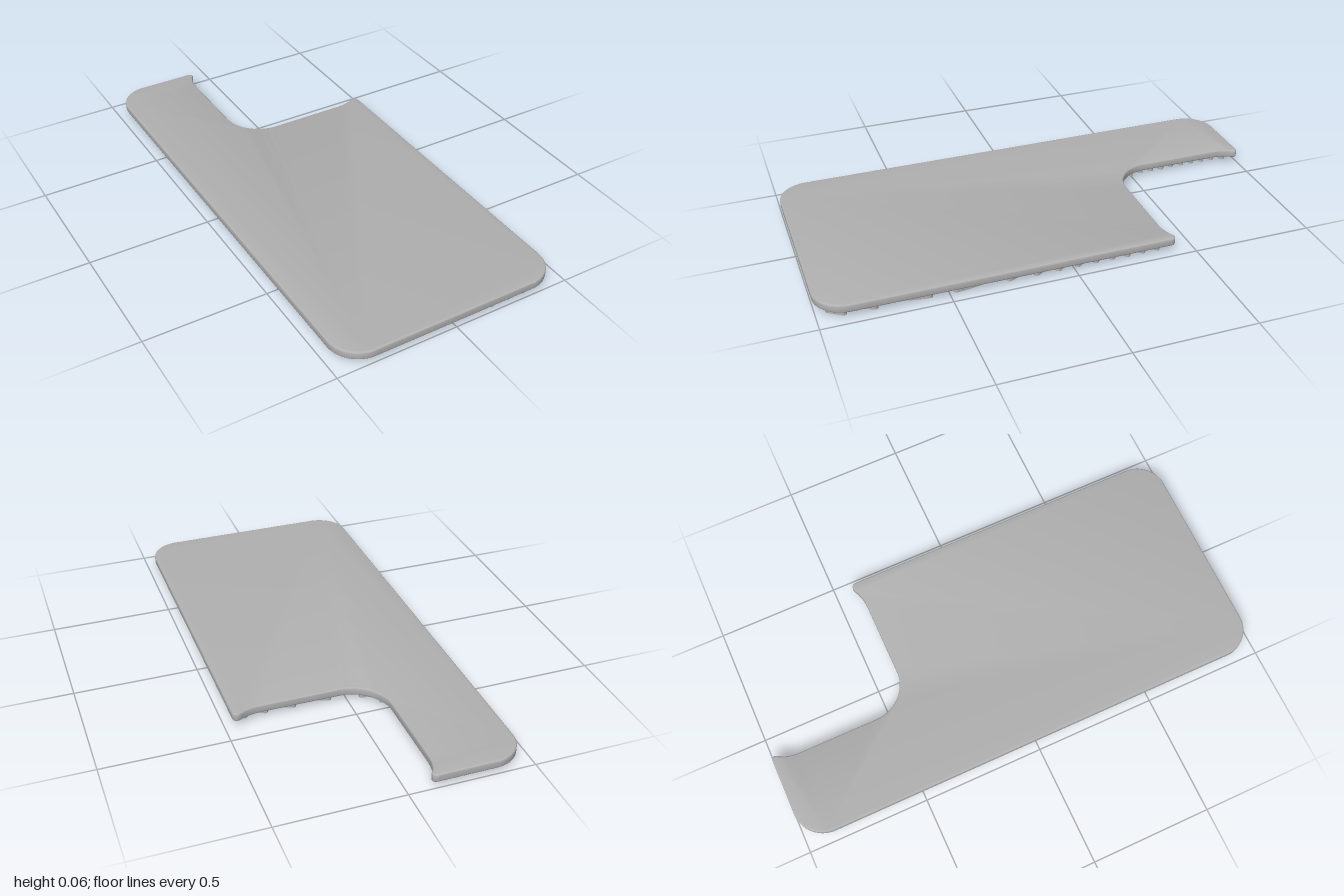
import * as THREE from 'three';
import { toCreasedNormals } from 'three/addons/utils/BufferGeometryUtils.js';

const PLATE_BOTTOM = 0.025, PLATE_TOP = 0.059;
const CENTRE = new THREE.Vector2(-0.187, -0.522); // hub of the ribs, drawn as (x, -z)
const FACING = THREE.MathUtils.degToRad(55);      // axis of the face relief
const RIB_HALF = 0.012;

// Plate outline with the corner notch, drawn as (x, -z); d shrinks it for the bevel
function plateOutline(d = 0) {
  const w = 0.468 - d, h = 1 - d, r = 0.125 - d;
  const s = new THREE.Shape();
  s.moveTo(-w + r, -h);
  s.lineTo(w - r, -h);
  s.absarc(w - r, -h + r, r, -Math.PI / 2, 0, false);
  s.lineTo(w, 0.405);
  s.bezierCurveTo(w, 0.425 - d, 0.452, 0.428 - d, 0.435, 0.42 - d);
  s.quadraticCurveTo(0.4, 0.4 - d, 0.345, 0.4 - d);
  s.lineTo(0.035, 0.4 - d);
  s.absarc(0.035, 0.557, 0.157 + d, -Math.PI / 2, Math.PI, true);
  s.lineTo(-0.122 - d, 0.88);
  s.quadraticCurveTo(-0.122 - d, 0.94, -0.1 - d, 0.972);
  s.bezierCurveTo(-0.09 - d, 0.985, -0.09 - d, h, -0.11 - d, h);
  s.lineTo(-w + r, h);
  s.absarc(-w + r, h - r, r, Math.PI / 2, Math.PI, false);
  s.lineTo(-w, -h + r);
  s.absarc(-w + r, -h + r, r, Math.PI, Math.PI * 1.5, false);
  return s;
}

// Extrude upward from y0 to y1
function slab(shape, y0, y1, bevel, curveSegments) {
  const geo = new THREE.ExtrudeGeometry(shape, {
    depth: y1 - y0 - 2 * bevel, curveSegments,
    bevelEnabled: bevel > 0, bevelThickness: bevel, bevelSize: bevel, bevelSegments: 3,
  });
  geo.translate(0, 0, y0 + bevel);
  geo.rotateX(-Math.PI / 2);
  return toCreasedNormals(geo, 0.6);
}

// Curved band with round ends around the hub
function arcBand(r, a0, a1, half) {
  const { x, y } = CENTRE, s = new THREE.Shape();
  s.absarc(x, y, r + half, a0, a1, false);
  s.absarc(x + r * Math.cos(a1), y + r * Math.sin(a1), half, a1, a1 + Math.PI, false);
  s.absarc(x, y, r - half, a1, a0, true);
  s.absarc(x + r * Math.cos(a0), y + r * Math.sin(a0), half, a0 + Math.PI, a0 + 2 * Math.PI, false);
  return s;
}

// Straight pill centred on p, pointing along the face axis
function pill(p, length, half) {
  const s = new THREE.Shape(), l = length / 2 - half;
  const dx = l * Math.cos(FACING), dy = l * Math.sin(FACING);
  s.absarc(p.x + dx, p.y + dy, half, FACING - Math.PI / 2, FACING + Math.PI / 2, false);
  s.absarc(p.x - dx, p.y - dy, half, FACING + Math.PI / 2, FACING + Math.PI * 1.5, false);
  return s;
}

// True when (x, y) lies inside the polygon, at least margin from its edge
function isInside(poly, x, y, margin) {
  let inside = false;
  for (let i = 0, j = poly.length - 1; i < poly.length; j = i++) {
    const a = poly[i], b = poly[j];
    if ((a.y > y) !== (b.y > y) && x < (b.x - a.x) * (y - a.y) / (b.y - a.y) + a.x) inside = !inside;
    const ex = b.x - a.x, ey = b.y - a.y, len = ex * ex + ey * ey;
    const t = len ? THREE.MathUtils.clamp(((x - a.x) * ex + (y - a.y) * ey) / len, 0, 1) : 0;
    if (Math.hypot(x - a.x - t * ex, y - a.y - t * ey) < margin) return false;
  }
  return inside;
}

export function createModel() {
  const grey = new THREE.MeshStandardMaterial({ color: 0xb0b0b0 });
  grey.name = 'grey';
  const model = new THREE.Group();
  model.name = 'ribbedCover';
  const add = (parent, name, geo) => {
    const mesh = new THREE.Mesh(geo, grey);
    mesh.name = name;
    parent.add(mesh);
  };

  // Cover plate
  const bevel = 0.006;
  add(model, 'plate', slab(plateOutline(bevel), PLATE_BOTTOM, PLATE_TOP, bevel, 16));

  // Concentric ribs underneath, cut short of the plate edge
  const ribs = new THREE.Group();
  ribs.name = 'ribs';
  model.add(ribs);
  const outline = plateOutline().getPoints(12);
  const first = THREE.MathUtils.degToRad(-57), last = THREE.MathUtils.degToRad(190), steps = 720;
  for (let k = 0; k < 23; k++) {
    const r = 0.425 + 0.05 * k;
    let start = null, previous = first;
    for (let i = 0; i <= steps + 1; i++) {
      const a = first + (last - first) * i / steps;
      const on = i <= steps &&
        isInside(outline, CENTRE.x + r * Math.cos(a), CENTRE.y + r * Math.sin(a), 0.02 + RIB_HALF);
      if (on && start === null) start = a;
      if (!on && start !== null) {
        if ((previous - start) * r > 0.015)
          add(ribs, 'rib', slab(arcBand(r, start, previous, RIB_HALF), 0, PLATE_BOTTOM + 0.002, 0, 40));
        start = null;
      }
      previous = a;
    }
  }

  // Small arch and four pills inside the ribs
  const relief = new THREE.Group();
  relief.name = 'centreRelief';
  model.add(relief);
  const arch = arcBand(0.23, THREE.MathUtils.degToRad(-35), THREE.MathUtils.degToRad(145), RIB_HALF);
  add(relief, 'arch', slab(arch, 0, PLATE_BOTTOM + 0.002, 0, 40));
  for (const [along, shift] of [[0.075, 0.006], [0.348, 0.014]]) {
    for (const side of [-1, 1]) {
      const p = new THREE.Vector2(along, shift * -1 + side * 0.057)
        .rotateAround(new THREE.Vector2(), FACING).add(CENTRE);
      add(relief, 'pill', slab(pill(p, 0.085, 0.018), 0, PLATE_BOTTOM + 0.002, 0, 12));
    }
  }
  return model;
}
